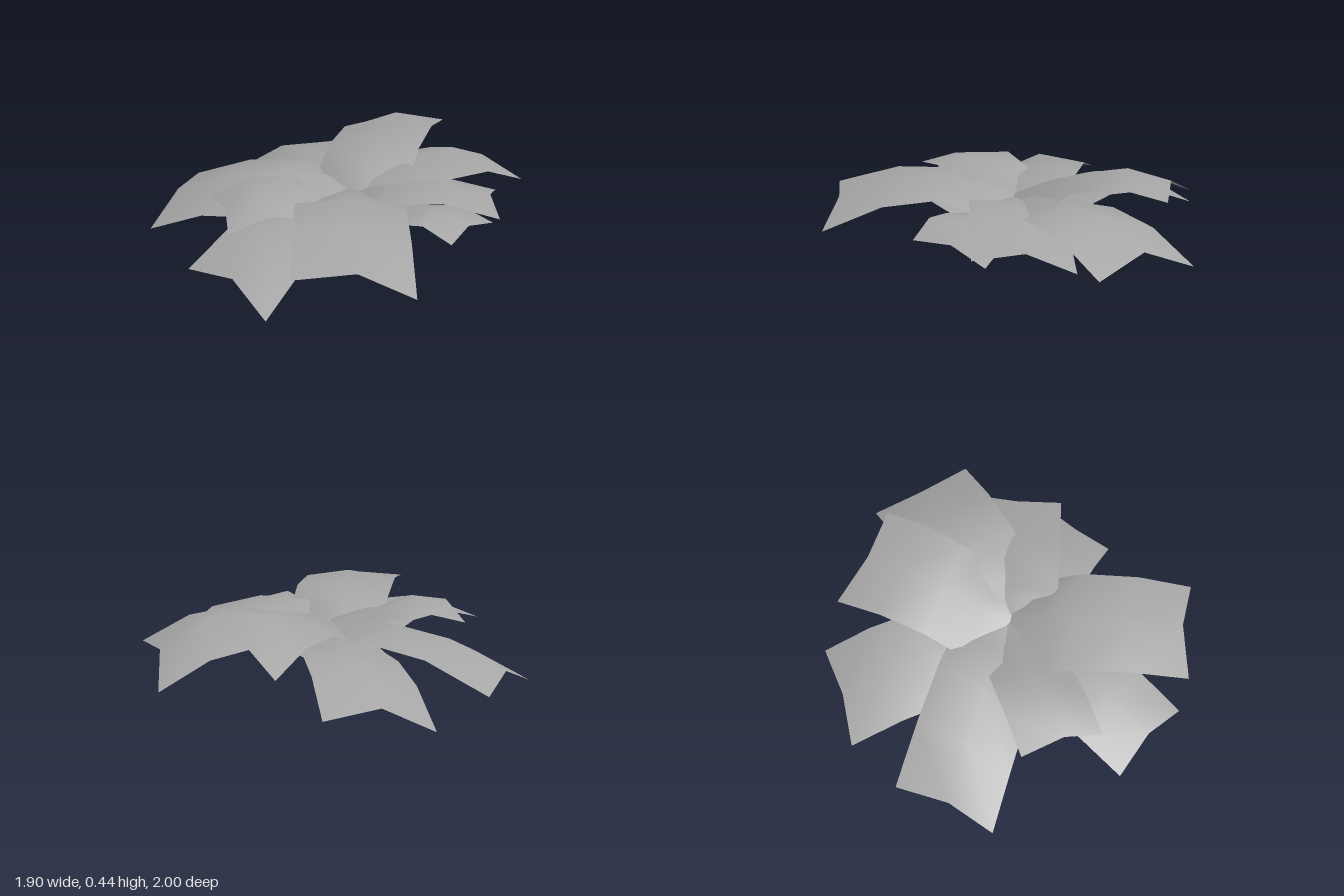
import * as THREE from 'three';

const V = (p) => new THREE.Vector3(...p);

// One arched leaf: an even-width strip that crosses the centre with drooping root corners,
// rises to its shoulders and falls to a notched end.
// shoulders = two side points halfway out, tips = side, notch, side at the end.
function makeLeaf(name, material, baseY, droop, shoulders, tips, ridge = 0.04) {
  const base = new THREE.Vector3(0.08, baseY, 0.04);
  const [s0, s2] = shoulders.map(V);
  const centre = s0.clone().lerp(s2, 0.5);
  const rootCorner = (s) => new THREE.Vector3(
    base.x + s.x - centre.x,
    baseY - droop + (s.y - centre.y) * 0.5,
    base.z + s.z - centre.z,
  );
  const root = [rootCorner(s0), base, rootCorner(s2)];
  const middle = [s0, centre.clone().setY(centre.y + ridge), s2];
  const end = tips.map(V);
  const between = (from, to, sideLift, midLift) => from.map((a, i) => {
    const p = a.clone().lerp(to[i], 0.5);
    p.y += i === 1 ? midLift : sideLift;
    return p;
  });
  const rows = [
    root, between(root, middle, -0.01, 0.015), middle, between(middle, end, 0.045, 0.045), end,
  ];
  const positions = rows.flat().flatMap((p) => [p.x, p.y, p.z]);
  const index = [];
  for (let r = 0; r < rows.length - 1; r++) {
    for (let c = 0; c < 2; c++) {
      const a = r * 3 + c, b = a + 1, d = a + 3, e = a + 4;
      index.push(a, b, d, b, e, d);
    }
  }
  const geometry = new THREE.BufferGeometry();
  geometry.setAttribute('position', new THREE.Float32BufferAttribute(positions, 3));
  geometry.setIndex(index);
  geometry.computeVertexNormals();
  const mesh = new THREE.Mesh(geometry, material);
  mesh.name = name;
  return mesh;
}

export function createModel() {
  const group = new THREE.Group();
  group.name = 'leafyPlant';
  const grey = new THREE.MeshStandardMaterial({ color: 0xa6a6a6, side: THREE.DoubleSide });
  grey.name = 'leafGrey';
  const add = (name, ...shape) => group.add(makeLeaf(name, grey, ...shape));

  // Upper leaves
  add('backUpperLeaf', 0.25, 0.11, [[-0.31, 0.32, -0.2], [0.17, 0.37, -0.4]],
    [[-0.51, 0.26, -0.67], [-0.25, 0.39, -0.7], [0, 0.375, -0.83]], 0.05);
  add('frontLeftUpperLeaf', 0.26, 0.11, [[0.53, 0.32, 0.13], [0.08, 0.31, 0.44]],
    [[0.95, 0.18, 0.55], [0.72, 0.27, 0.68], [0.53, 0.255, 0.9]], 0.04);
  add('frontUpperLeaf', 0.25, 0.11, [[0.15, 0.24, 0.4], [-0.22, 0.29, 0.2]],
    [[0, 0.25, 0.8], [-0.16, 0.29, 0.68], [-0.38, 0.25, 0.6]]);

  // Middle leaves
  add('backLeaf', 0.23, 0.1, [[-0.07, 0.25, -0.48], [0.45, 0.3, -0.33]],
    [[0.02, 0.1, -1], [0.26, 0.22, -0.87], [0.56, 0.17, -0.83]], 0.06);
  add('backLeftLeaf', 0.22, 0.09, [[0.1, 0.2, -0.28], [0.36, 0.28, 0.11]],
    [[0.5, 0.14, -0.67], [0.61, 0.22, -0.46], [0.79, 0.2, -0.29]]);
  add('frontRightLeaf', 0.24, 0.1, [[-0.2, 0.14, 0.46], [-0.34, 0.26, -0.05]],
    [[-0.72, 0, 0.75], [-0.79, 0.13, 0.5], [-0.93, 0.1, 0.25]], 0.09);

  // Lower leaves
  add('leftLowerLeaf', 0.19, 0.08, [[0.38, 0.16, -0.25], [0.48, 0.23, 0.16]],
    [[0.73, 0.15, -0.32], [0.73, 0.21, -0.11], [0.78, 0.2, 0.09]]);
  add('frontLowerLeaf', 0.2, 0.09, [[0.36, 0.22, 0.43], [-0.12, 0.22, 0.46]],
    [[0.44, 0.04, 0.97], [0.2, 0.15, 0.95], [-0.06, 0.12, 1]]);
  add('backRightLowerLeaf', 0.19, 0.07, [[-0.4, 0.14, 0.13], [-0.24, 0.24, -0.35]],
    [[-0.95, 0.02, -0.09], [-0.81, 0.14, -0.3], [-0.72, 0.11, -0.56]]);

  return group;
}
